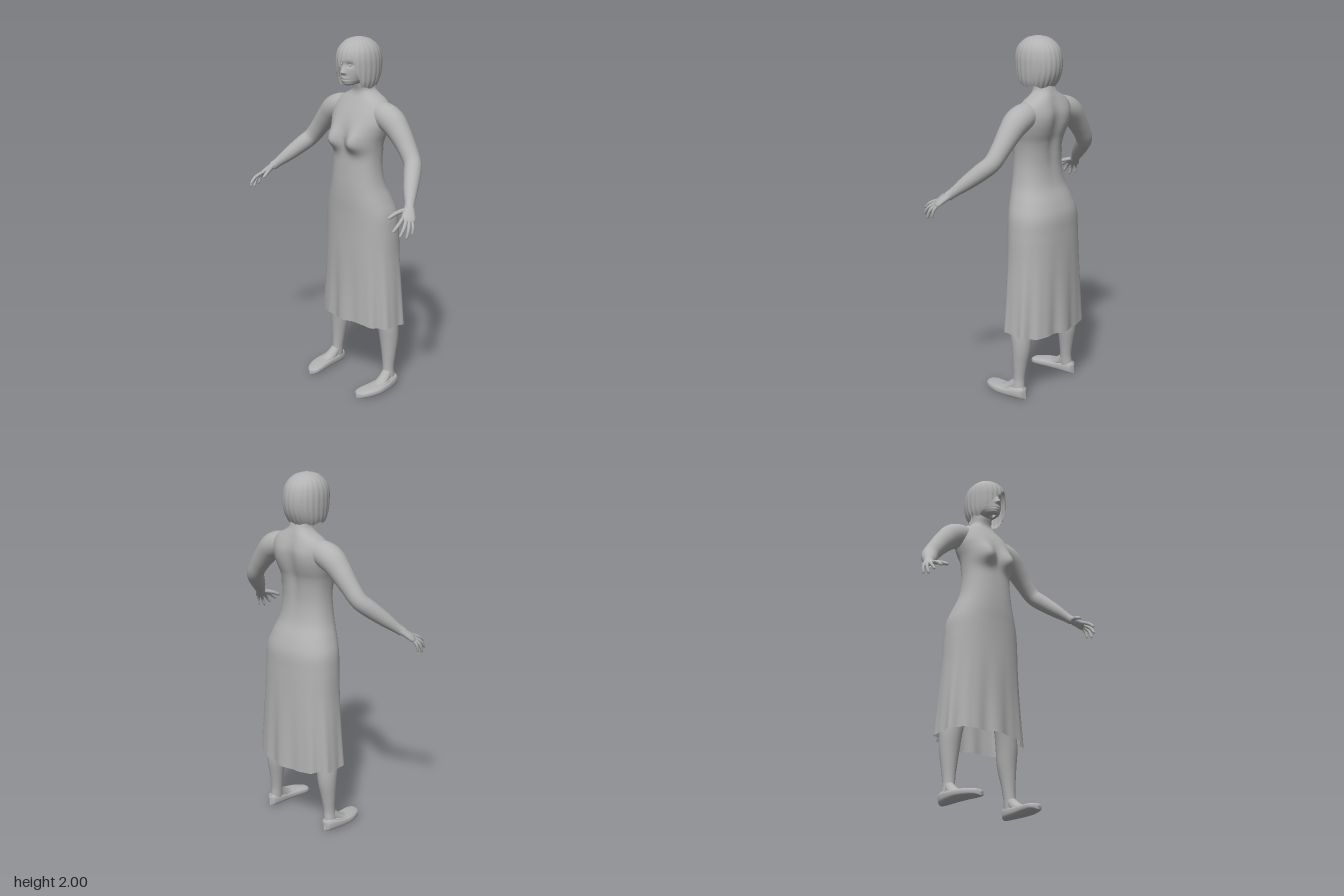
import * as THREE from 'three';

const grey = new THREE.MeshStandardMaterial({ color: 0xb2b2b2, side: THREE.DoubleSide });
grey.name = 'plain grey';

const gauss = (d, s) => Math.exp(-(d * d) / (2 * s * s));
const { sin, cos, abs, sign, pow, PI } = Math;

// Smooth lookup in a table whose first column is the key
function table(rows) {
  const it = new THREE.CubicInterpolant(rows.map(r => r[0]), rows.flatMap(r => r.slice(1)), rows[0].length - 1);
  return k => Array.from(it.evaluate(k));
}

// Skin a surface: u runs along, v runs around and closes on itself
function skin(fn, nu, nv) {
  const pos = [], idx = [];
  for (let i = 0; i <= nu; i++)
    for (let j = 0; j < nv; j++) pos.push(...fn(i / nu, (j / nv) * 2 * PI));
  for (let i = 0; i < nu; i++)
    for (let j = 0; j < nv; j++) {
      const a = i * nv + j, b = i * nv + (j + 1) % nv;
      idx.push(a, b, a + nv, b, b + nv, a + nv);
    }
  const g = new THREE.BufferGeometry();
  g.setAttribute('position', new THREE.Float32BufferAttribute(pos, 3));
  g.setIndex(idx);
  g.computeVertexNormals();
  return g;
}

// Limb along rows of [x, y, z, radius along n, radius across], rounded at the tip
function limb(rows, n, nu = 28, nv = 18, tip = 0) {
  const path = new THREE.CatmullRomCurve3(rows.map(r => new THREE.Vector3(r[0], r[1], r[2])));
  const radii = table(rows.map((r, i) => [i, r[3], r[4] ?? r[3]]));
  const ref = new THREE.Vector3(...n);
  return skin((s, a) => {
    const u = tip ? sin(s * PI / 2) : s;
    const [r1, r2] = radii(u * (rows.length - 1));
    const k = u > 1 - tip ? Math.sqrt(Math.max(0, 1 - ((u - 1 + tip) / tip) ** 2)) : 1;
    const t = path.getTangent(u);
    const N = ref.clone().addScaledVector(t, -ref.dot(t)).normalize();
    const B = t.clone().cross(N);
    return path.getPoint(u).addScaledVector(N, r1 * k * cos(a)).addScaledVector(B, r2 * k * sin(a)).toArray();
  }, nu, nv);
}

// Rounded cross-section at angle a (0 = front, quarter turn = left)
function section(y, a, [w, zf, zb], p = 2, grow = 0) {
  const s = sin(a), c = cos(a);
  return [
    (w + grow) * sign(s) * pow(abs(s), 2 / p), y,
    (zf + zb) / 2 + ((zf - zb) / 2 + grow) * sign(c) * pow(abs(c), 2 / p),
  ];
}

// Height, half width, front z, back z
const bodyTable = table([
  [0.36, 0.265, 0.055, -0.25], [0.6, 0.248, 0.05, -0.245], [0.8, 0.233, 0.05, -0.24], [0.95, 0.226, 0.05, -0.235],
  [1.05, 0.216, 0.052, -0.228], [1.12, 0.192, 0.055, -0.205], [1.2, 0.163, 0.055, -0.17], [1.3, 0.147, 0.05, -0.153],
  [1.38, 0.147, 0.045, -0.155], [1.45, 0.158, 0.045, -0.165], [1.5, 0.173, 0.043, -0.18], [1.55, 0.185, 0.035, -0.19],
  [1.6, 0.183, 0.015, -0.193], [1.64, 0.168, -0.008, -0.185], [1.67, 0.135, -0.025, -0.175], [1.69, 0.095, -0.036, -0.168],
  [1.71, 0.067, -0.04, -0.16], [1.75, 0.055, -0.03, -0.147], [1.8, 0.055, -0.02, -0.145],
]);

function bodyPoint(y, a, grow) {
  const [x, , z] = section(y, a, bodyTable(y), 2.3, grow);
  const p = [x, y, z];
  if (cos(a) > 0) p[2] += 0.055 * gauss(abs(x) - 0.082, 0.04) * gauss(y - 1.445, y > 1.445 ? 0.055 : 0.035) * cos(a) ** 0.5;
  else p[2] += 0.014 * gauss(x, 0.025) * gauss(y - 1.5, 0.12) - 0.008 * gauss(abs(x) - 0.09, 0.04) * gauss(y - 1.57, 0.06);
  return p;
}

function dressPoint(u, a) {
  const front = cos(a);
  const hem = 0.388 + 0.012 * front + 0.004 * sin(5 * a);
  const top = 1.43 + 0.045 * front + 0.03 * gauss(abs(sin(a)) - 0.6, 0.2) * Math.max(0, front);
  const y = hem + (top - hem) * u;
  const fold = Math.max(0, (0.95 - y) / 0.56) ** 1.5;
  return bodyPoint(y, a, 0.004 + fold * (0.007 * cos(10 * a) + 0.004 * cos(16 * a + 0.5)));
}

// Head and face
const headTable = table([
  [1.748, 0.012, 0.03, -0.01], [1.754, 0.032, 0.046, -0.05], [1.77, 0.05, 0.053, -0.1], [1.79, 0.062, 0.054, -0.13],
  [1.82, 0.072, 0.055, -0.15], [1.86, 0.078, 0.054, -0.165], [1.9, 0.08, 0.054, -0.168], [1.94, 0.073, 0.038, -0.155],
  [1.97, 0.05, 0.005, -0.12], [1.985, 0.002, -0.05, -0.055],
]);

function headPoint(u, a) {
  const y = 1.748 + 0.237 * u;
  const p = section(y, a, headTable(y), 2.1);
  if (cos(a) > 0) {
    const x = p[0], ax = abs(x);
    p[2] += 0.021 * gauss(x, 0.009) * gauss(y - 1.822, y > 1.822 ? 0.018 : 0.006)
      + 0.006 * gauss(ax - 0.012, 0.006) * gauss(y - 1.82, 0.006)
      - 0.01 * gauss(ax - 0.032, 0.014) * gauss(y - 1.862, 0.01)
      + 0.007 * gauss(x, 0.018) * gauss(y - 1.784, 0.01)
      - 0.006 * gauss(x, 0.02) * gauss(y - 1.784, 0.0025);
  }
  return p;
}

// Bobbed hair with a slanting fringe
const hairTable = table([
  [1.73, 0.088, 0.035, -0.145], [1.76, 0.101, 0.052, -0.165], [1.8, 0.108, 0.064, -0.183], [1.85, 0.111, 0.07, -0.191],
  [1.9, 0.109, 0.07, -0.187], [1.94, 0.098, 0.056, -0.172], [1.97, 0.076, 0.028, -0.143], [1.99, 0.045, -0.008, -0.106],
  [2, 0.001, -0.057, -0.059],
]);

function hairEdge(a) {
  const t = a > PI ? a - 2 * PI : a;
  if (t > 0.5 && t < 1) return 1.935 - (t - 0.5) * 0.39;
  if (t <= 0.5 && t > -1.05) return 1.935 - (0.5 - t) * 0.127;
  return 1.738 + 0.006 * sin(7 * a);
}

function hairPoint(u, a) {
  const low = hairEdge(a);
  const y = low + (2 - low) * sin(u * PI / 2);
  return section(y, a, hairTable(y), 2.1, 0.0018 * sin(24 * a) * (1 - u));
}

// Flat slip-on shoe: z, centre x, half width, height
const shoeTable = table([
  [-0.147, 0.219, 0.002, 0.05], [-0.14, 0.219, 0.022, 0.062], [-0.12, 0.22, 0.034, 0.068], [-0.08, 0.222, 0.042, 0.064],
  [-0.03, 0.224, 0.047, 0.056], [0.03, 0.221, 0.052, 0.05], [0.08, 0.211, 0.049, 0.045], [0.12, 0.201, 0.038, 0.038],
  [0.138, 0.198, 0.022, 0.032], [0.145, 0.197, 0.002, 0.02],
]);

function shoePoint(u, a) {
  const z = -0.001 - 0.146 * cos(u * PI);
  const [cx, w, h] = shoeTable(z);
  const round = v => sign(v) * pow(abs(v), 0.7);
  return [cx + w * round(cos(a)), 0.004 + (h / 2) * (1 + round(sin(a))), z];
}

export function createModel() {
  const model = new THREE.Group();
  model.name = 'woman in long dress';
  const add = (parent, name, geometry) => {
    const m = new THREE.Mesh(geometry, grey);
    m.name = name;
    parent.add(m);
    return m;
  };

  add(model, 'torso', skin((u, a) => bodyPoint(1.3 + 0.5 * u, a, 0), 60, 72));
  add(model, 'dress', skin(dressPoint, 80, 120));
  add(model, 'head', skin(headPoint, 70, 96));
  add(model, 'hair', skin(hairPoint, 28, 144));

  // Arms, hands, legs and shoes, built on the left and mirrored
  const armGeo = limb([
    [0.1, 1.6, -0.095, 0.062], [0.16, 1.594, -0.093, 0.07], [0.22, 1.57, -0.092, 0.071], [0.275, 1.52, -0.09, 0.062],
    [0.335, 1.45, -0.085, 0.052], [0.39, 1.38, -0.07, 0.047], [0.425, 1.337, -0.03, 0.046], [0.475, 1.275, 0.035, 0.038],
    [0.515, 1.228, 0.083, 0.027], [0.535, 1.205, 0.108, 0.025],
  ], [0, 1, 0], 48, 24);
  const across = [-0.035, 0.005, 0.06];
  const palmGeo = limb([
    [0.522, 1.22, 0.092, 0.025, 0.022], [0.542, 1.2, 0.115, 0.03, 0.018],
    [0.56, 1.18, 0.138, 0.036, 0.016], [0.58, 1.155, 0.162, 0.036, 0.012],
  ], across, 16, 16, 0.2);
  const fingers = {
    thumb: [[0.525, 1.205, 0.12], [0.505, 1.192, 0.168], [0.489, 1.168, 0.217], 0.0115],
    indexFinger: [[0.55, 1.178, 0.168], [0.563, 1.155, 0.215], [0.56, 1.122, 0.255], 0.0095],
    middleFinger: [[0.565, 1.17, 0.16], [0.587, 1.14, 0.2], [0.588, 1.098, 0.232], 0.0095],
    ringFinger: [[0.574, 1.165, 0.15], [0.598, 1.13, 0.178], [0.6, 1.082, 0.198], 0.009],
    littleFinger: [[0.575, 1.17, 0.132], [0.6, 1.137, 0.148], [0.604, 1.095, 0.158], 0.008],
  };
  const legGeo = limb([
    [0.1, 0.95, -0.09, 0.095], [0.13, 0.75, -0.09, 0.085], [0.175, 0.52, -0.09, 0.063], [0.197, 0.39, -0.1, 0.06],
    [0.202, 0.3, -0.105, 0.054], [0.207, 0.2, -0.1, 0.041], [0.21, 0.12, -0.095, 0.032, 0.034],
    [0.214, 0.07, -0.093, 0.032, 0.038], [0.218, 0.03, -0.09, 0.034, 0.044],
  ], [1, 0, 0], 48, 24);
  const footGeo = limb([
    [0.212, 0.1, -0.09, 0.028], [0.217, 0.06, -0.05, 0.034, 0.03], [0.22, 0.037, 0, 0.038, 0.024], [0.217, 0.025, 0.06, 0.035, 0.02],
  ], [1, 0, 0], 16, 18);
  const rim = new THREE.CatmullRomCurve3([
    [0.22, 0.069, -0.137], [0.25, 0.062, -0.085], [0.258, 0.051, -0.01], [0.246, 0.048, 0.038],
    [0.216, 0.049, 0.056], [0.19, 0.048, 0.038], [0.187, 0.051, -0.01], [0.192, 0.062, -0.085],
  ].map(p => new THREE.Vector3(...p)), true);
  const rimGeo = new THREE.TubeGeometry(rim, 48, 0.004, 6, true);
  const shoeGeo = skin(shoePoint, 36, 32);
  const eyeGeo = new THREE.SphereGeometry(0.011, 16, 12).scale(1, 0.6, 0.7);

  for (const side of [1, -1]) {
    const g = new THREE.Group();
    g.name = side > 0 ? 'leftLimbs' : 'rightLimbs';
    g.scale.x = side;
    add(g, 'arm', armGeo);
    add(g, 'palm', palmGeo);
    for (const [name, [a, b, c, r]] of Object.entries(fingers))
      add(g, name, limb([[...a, r], [...b, r], [...c, r * 0.75]], across, 14, 10, 0.12));
    add(g, 'leg', legGeo);
    add(g, 'foot', footGeo);
    add(g, 'shoe', shoeGeo);
    add(g, 'shoeRim', rimGeo);
    add(g, 'eye', eyeGeo).position.set(0.031, 1.86, 0.036);
    model.add(g);
  }
  return model;
}
